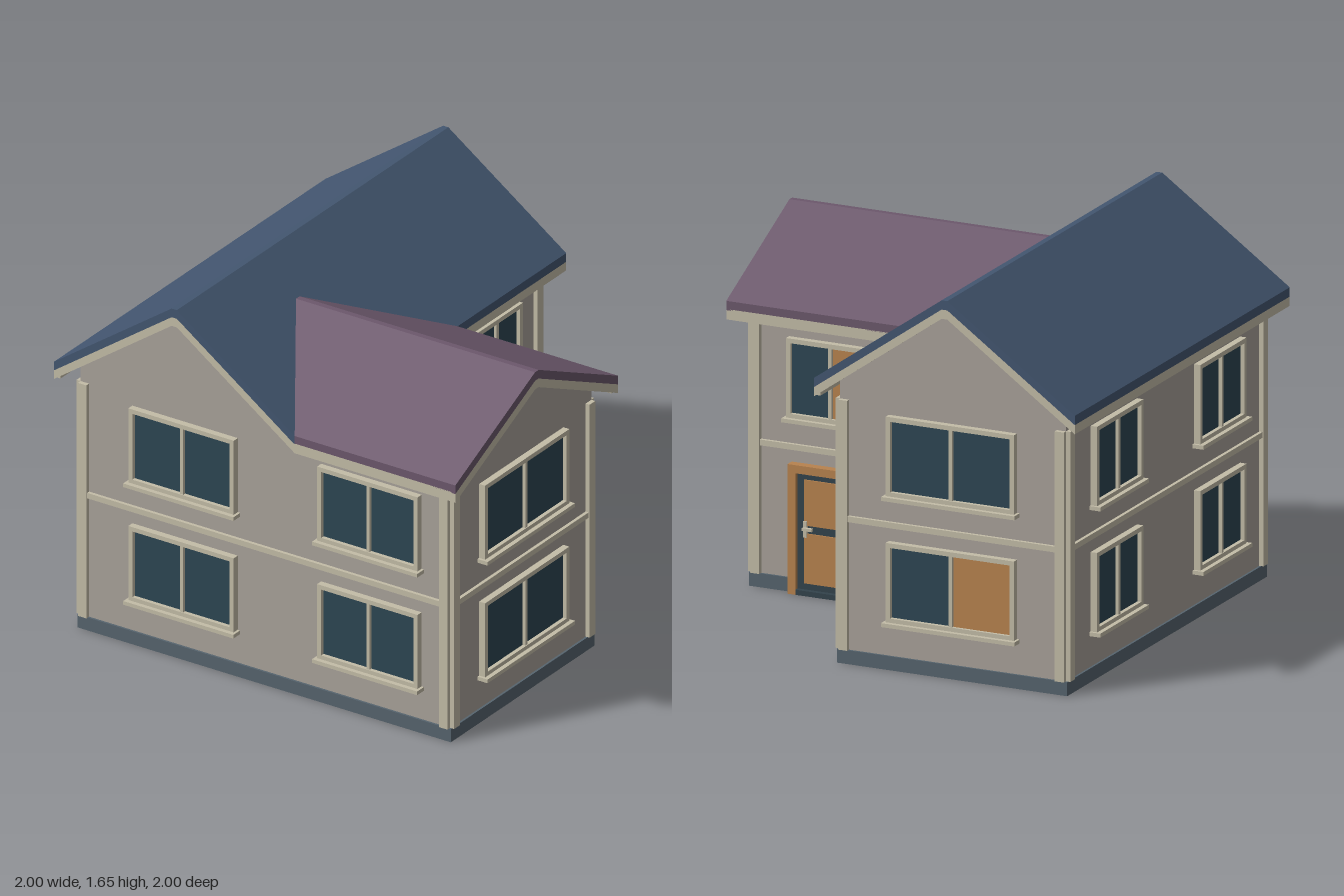
import * as THREE from 'three';

const mat = (color) => new THREE.MeshStandardMaterial({ color });
const M = {
  wall: mat(0xa9a29a), trim: mat(0xc4bda8), plinth: mat(0x56646e), glass: mat(0x2d4653),
  blue: mat(0x435670), purple: mat(0x6c586c), wood: mat(0xb8834f), dark: mat(0x33434c),
};

const EAVE = 1.24, HALF = 0.6, FLAT = 0.013, THICK = 0.04, RIDGE = 0.4;
const MAIN_TOP = 1.655, WING_TOP = 1.516;
// Roof surface height at distance d from the ridge line
const roofY = (d, top) => top - (top - EAVE) * Math.max(0, Math.abs(d) - FLAT) / (HALF - FLAT);

function add(parent, name, geometry, material) {
  const mesh = new THREE.Mesh(geometry, material);
  mesh.name = name;
  parent.add(mesh);
  return mesh;
}

// Box given by its minimum and maximum corners
function box(parent, name, material, x0, x1, y0, y1, z0, z1) {
  const mesh = add(parent, name, new THREE.BoxGeometry(x1 - x0, y1 - y0, z1 - z0), material);
  mesh.position.set((x0 + x1) / 2, (y0 + y1) / 2, (z0 + z1) / 2);
  return mesh;
}

function extrude(points, depth) {
  const shape = new THREE.Shape(points.map(([x, y]) => new THREE.Vector2(x, y)));
  return new THREE.ExtrudeGeometry(shape, { depth, bevelEnabled: false });
}

// Inverted V slab, lowered by drop
function chevron(top, drop, depth) {
  const e = EAVE - drop, a = top - drop;
  return extrude([
    [-HALF, e - THICK], [-FLAT, a - THICK], [FLAT, a - THICK], [HALF, e - THICK],
    [HALF, e], [FLAT, a], [-FLAT, a], [-HALF, e],
  ], depth);
}

// Gabled wall block reaching the underside of its roof
function gableBlock(top, depth) {
  const w = 0.52, e = roofY(w, top) - THICK, a = top - THICK;
  return extrude([[-w, 0.04], [w, 0.04], [w, e], [FLAT, a], [-FLAT, a], [-w, e]], depth);
}

const alongX = (g, x) => g.rotateY(Math.PI / 2).translate(x, 0, RIDGE);
const alongZ = (g, z) => g.translate(-RIDGE, 0, z);

// Two-pane window on a wall whose outside faces local +z
function addWindow(wall, u, y, width, blind) {
  const g = new THREE.Group();
  g.name = 'window';
  g.position.set(u, y, 0);
  const w = width / 2, h = 0.345, f = 0.02;
  box(g, 'glass', M.glass, -w + f, w - f, f, h - f, -0.01, 0.012);
  if (blind) box(g, 'blind', M.wood, f / 2, w - f, f, h - f, 0, 0.016);
  for (const s of [-1, 1]) {
    const x = s * (w - f / 2);
    box(g, 'frameSide', M.trim, x - f / 2, x + f / 2, 0, h, -0.01, 0.03);
  }
  box(g, 'frameTop', M.trim, -w + f, w - f, h - f, h, -0.01, 0.03);
  box(g, 'frameBottom', M.trim, -w + f, w - f, 0, f, -0.01, 0.03);
  box(g, 'mullion', M.trim, -0.008, 0.008, f, h - f, -0.01, 0.026);
  box(g, 'sill', M.trim, -w - 0.012, w + 0.012, -0.015, 0.002, -0.01, 0.05);
  wall.add(g);
}

function addDoor(wall, u) {
  const g = new THREE.Group();
  g.name = 'door';
  g.position.x = u;
  for (const s of [-1, 1]) {
    const x = s * 0.165;
    box(g, 'doorJamb', M.wood, x - 0.018, x + 0.018, 0, 0.56, -0.01, 0.04);
  }
  box(g, 'doorHead', M.wood, -0.147, 0.147, 0.525, 0.56, -0.01, 0.04);
  box(g, 'doorLeaf', M.dark, -0.147, 0.147, 0.02, 0.525, -0.01, 0.018);
  box(g, 'upperPanel', M.wood, -0.115, 0.115, 0.3, 0.497, 0, 0.025);
  box(g, 'lowerPanel', M.wood, -0.115, 0.115, 0.05, 0.265, 0, 0.025);
  box(g, 'threshold', M.dark, -0.147, 0.147, 0, 0.022, -0.01, 0.04);
  box(g, 'handlePlate', M.trim, -0.115, -0.1, 0.25, 0.32, 0.01, 0.032);
  box(g, 'handle', M.trim, -0.115, -0.07, 0.282, 0.294, 0.03, 0.045);
  wall.add(g);
}

// Wall faces: local x runs to the viewer's right, u0..u1 is the extent.
// Windows: [centre, width, floors, floor with a blind]
const WALLS = [
  { name: 'frontWall', turn: 0, at: [0, 0.92], u: [-0.92, 0.92],
    windows: [[-0.4, 0.525, [0, 1]], [0.528, 0.5, [0, 1]]] },
  { name: 'wingEndWall', turn: 1, at: [0.92, 0], u: [-0.92, 0.12],
    windows: [[-0.396, 0.62, [0, 1]]] },
  { name: 'wingBackWall', turn: 2, at: [0, -0.12], u: [-0.92, -0.14],
    windows: [[-0.55, 0.4, [1], 1]], door: -0.555 },
  { name: 'courtWall', turn: 1, at: [0.12, 0], u: [0.14, 0.92],
    windows: [[0.575, 0.36, [0, 1]]] },
  { name: 'backWall', turn: 2, at: [0, -0.92], u: [-0.12, 0.92],
    windows: [[0.4, 0.59, [0, 1], 0]] },
  { name: 'leftWall', turn: -1, at: [-0.92, 0], u: [-0.92, 0.92],
    windows: [[-0.475, 0.43, [0, 1]], [0.485, 0.43, [0, 1]]] },
];

export function createModel() {
  const house = new THREE.Group();
  house.name = 'house';

  // L-shaped plinth and the two wall blocks
  const plan = [[-0.93, -0.93], [0.93, -0.93], [0.93, 0.13], [0.13, 0.13], [0.13, 0.93], [-0.93, 0.93]];
  add(house, 'plinth', extrude(plan, 0.06).rotateX(-Math.PI / 2), M.plinth);
  add(house, 'mainWalls', alongZ(gableBlock(MAIN_TOP, 1.84), -0.92), M.wall);
  add(house, 'wingWalls', alongX(gableBlock(WING_TOP, 0.84), 0.08), M.wall);

  // Main roof and wing roof; the wing's inner end is cut along the valleys
  add(house, 'mainRoof', alongZ(chevron(MAIN_TOP, 0, 2), -1), M.blue);
  const wingRoof = alongX(chevron(WING_TOP, 0, 1), 0);
  const p = wingRoof.attributes.position;
  const slope = (MAIN_TOP - EAVE) / (HALF - FLAT);
  for (let i = 0; i < p.count; i++) {
    if (p.getX(i) < 0.5) p.setX(i, 0.2 - (roofY(p.getZ(i) - RIDGE, WING_TOP) - EAVE) / slope);
  }
  wingRoof.computeVertexNormals();
  add(house, 'wingRoof', wingRoof, M.purple);

  // Gable boards and eave boards
  const t = 0.02;
  for (const z of [-1, 1 - t]) add(house, 'mainGableBoard', alongZ(chevron(MAIN_TOP, THICK, t), z), M.trim);
  add(house, 'wingGableBoard', alongX(chevron(WING_TOP, THICK, t), 1 - t), M.trim);
  const y0 = EAVE - 2 * THICK, y1 = EAVE - THICK;
  box(house, 'eaveBoard', M.trim, -1, -1 + t, y0, y1 + 0.005, -1 + t, 1 - t);
  box(house, 'eaveBoard', M.trim, 0.2 - t, 0.2, y0, y1 + 0.005, -1 + t, -0.2 + t);
  box(house, 'eaveBoard', M.trim, 0.2, 1 - t, y0, y1 + 0.005, -0.2, -0.2 + t);
  box(house, 'eaveBoard', M.trim, 0.2, 1 - t, y0, y1 + 0.005, 1 - t, 1);

  // Trim, windows and door of every wall
  for (const { name, turn, at, u, windows, door } of WALLS) {
    const wall = new THREE.Group();
    wall.name = name;
    wall.position.set(at[0], 0, at[1]);
    wall.rotation.y = turn * Math.PI / 2;
    const [a, b] = u, w = 0.042;
    box(wall, 'cornerBoard', M.trim, a, a + w, 0.06, 1.14, -0.01, 0.02);
    box(wall, 'cornerBoard', M.trim, b - w, b, 0.06, 1.14, -0.01, 0.02);
    box(wall, 'floorBand', M.trim, a + w, b - w, 0.615, 0.64, -0.01, 0.015);
    for (const [c, width, floors, blind] of windows) {
      for (const f of floors) addWindow(wall, c, f ? 0.755 : 0.21, width, blind === f);
    }
    if (door !== undefined) addDoor(wall, door);
    house.add(wall);
  }
  return house;
}
